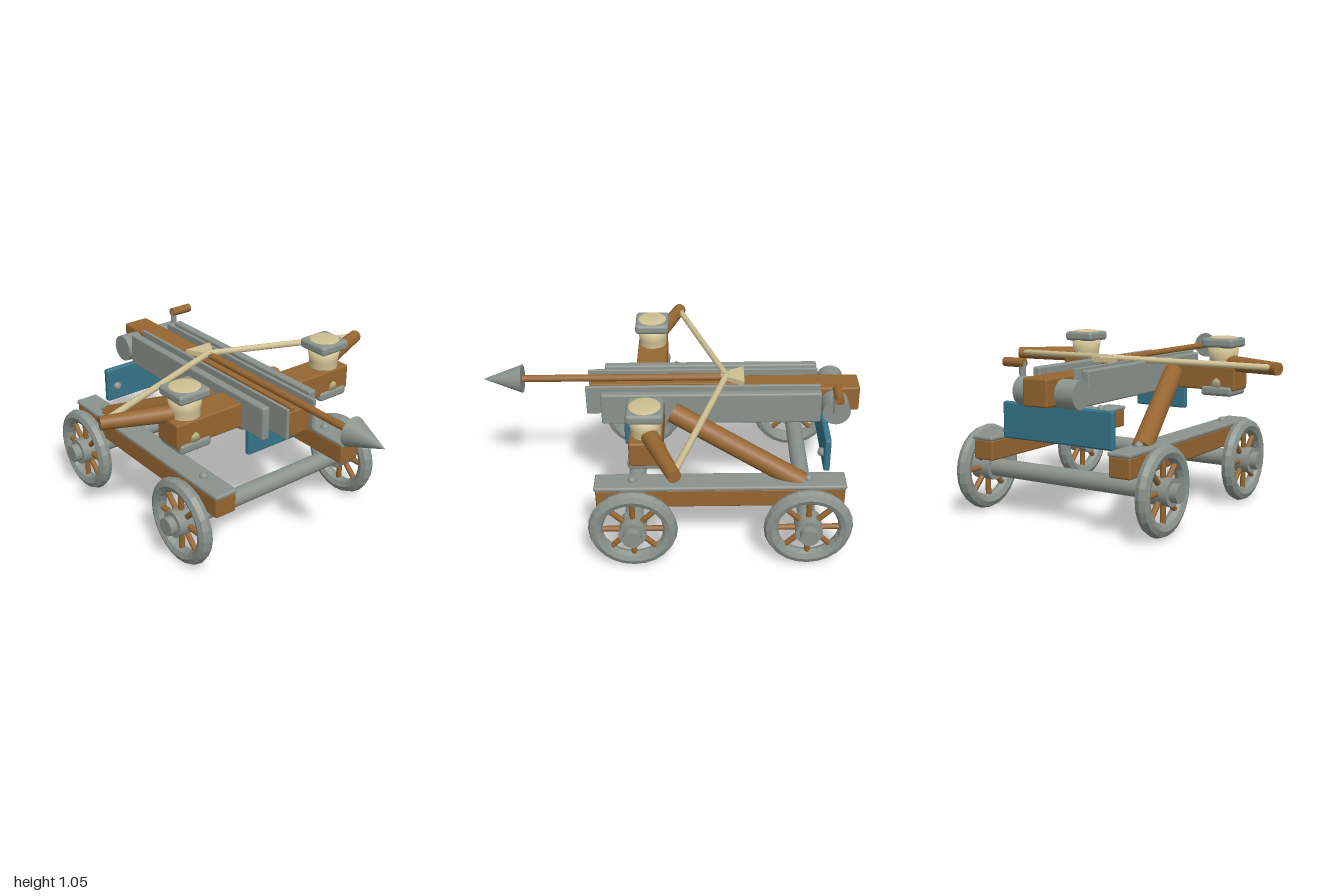
import * as THREE from 'three';
import { RoundedBoxGeometry } from 'three/addons/geometries/RoundedBoxGeometry.js';

const material = (name, color, extra = {}) => {
  const m = new THREE.MeshStandardMaterial({ color, ...extra });
  m.name = name;
  return m;
};

export function createModel() {
  const wood = material('wood', 0x966631);
  const iron = material('iron', 0x8b938d);
  const rope = material('rope', 0xcfc092);
  const teal = material('teal paint', 0x35758b);
  const rimIron = material('rim iron', 0x8b938d, { flatShading: true });

  const model = new THREE.Group();
  const engine = new THREE.Group();
  engine.name = 'siegeBow';
  engine.rotation.y = Math.PI / 4; // the machine points diagonally
  model.add(engine);

  const add = (name, geometry, mat, parent = engine) => {
    const mesh = new THREE.Mesh(geometry, mat);
    mesh.name = name;
    parent.add(mesh);
    return mesh;
  };
  // Box given by its ranges on each axis
  const box = (name, mat, [x0, x1], [y0, y1], [z0, z1], r = 0.012) => {
    const g = new RoundedBoxGeometry(x1 - x0, y1 - y0, z1 - z0, 2, r);
    g.translate((x0 + x1) / 2, (y0 + y1) / 2, (z0 + z1) / 2);
    return add(name, g, mat);
  };
  // Cylinder running from a to b
  const rod = (name, mat, a, b, ra, rb = ra, sides = 18, parent = engine) => {
    const p = new THREE.Vector3(...a), q = new THREE.Vector3(...b);
    const d = q.clone().sub(p);
    const mesh = add(name, new THREE.CylinderGeometry(rb, ra, d.length(), sides), mat, parent);
    mesh.position.copy(p).add(q).multiplyScalar(0.5);
    mesh.quaternion.setFromUnitVectors(new THREE.Vector3(0, 1, 0), d.normalize());
    return mesh;
  };
  const bolt = (x, y, z) => {
    add('bolt', new THREE.SphereGeometry(0.027, 12, 8), iron).position.set(x, y, z);
  };
  const span = (s, a, b) => (s > 0 ? [a, b] : [-b, -a]);

  // Wheels and axles
  const axleY = 0.266;
  for (const z of [-0.51, 0.51]) {
    rod('axle', iron, [-0.6, axleY, z], [0.6, axleY, z], 0.054);
    for (const s of [-1, 1]) {
      const wheel = new THREE.Group();
      wheel.name = 'wheel';
      wheel.position.set(s * 0.62, axleY, z);
      engine.add(wheel);
      add('rim', new THREE.TorusGeometry(0.218, 0.043, 8, 24), rimIron, wheel).rotation.y = Math.PI / 2;
      rod('hub', iron, [-0.065, 0, 0], [0.065, 0, 0], 0.08, 0.08, 18, wheel);
      rod('hubCap', iron, [0, 0, 0], [s * 0.11, 0, 0], 0.055, 0.055, 18, wheel);
      for (let i = 0; i < 8; i++) {
        const a = (i * Math.PI) / 4;
        const c = Math.cos(a), k = Math.sin(a);
        rod('spoke', wood, [0, c * 0.05, k * 0.05], [0, c * 0.2, k * 0.2], 0.017, 0.017, 8, wheel);
      }
    }
  }

  for (const s of [-1, 1]) {
    // Chassis rails with iron straps on top
    box('chassisRail', wood, span(s, 0.402, 0.54), [0.355, 0.477], [-0.725, 0.725]);
    box('railStrap', iron, span(s, 0.398, 0.546), [0.472, 0.5], [-0.733, 0.733]);
    bolt(s * 0.465, 0.5, -0.513);
    bolt(s * 0.465, 0.5, 0.513);

    // Diagonal braces
    rod('brace', wood, [s * 0.46, 0.47, -0.48], [s * 0.237, 0.82, 0.275], 0.06);

    // Side walls and guide strips of the stock
    box('sideWall', iron, span(s, 0.145, 0.195), [0.71, 0.91], [-0.6, 0.695]);
    box('guideStrip', iron, span(s, 0.086, 0.106), [0.73, 0.915], [-0.6, 0.79], 0.005);
    box('arrowGuide', wood, span(s, 0.028, 0.058), [0.87, 0.905], [-0.1, 0.765], 0.006);

    // Rope bundle held between two iron caps
    const bundle = [[0, 0.74], [0.1, 0.74], [0.096, 0.78], [0.086, 0.84], [0.086, 0.91], [0.098, 0.985], [0, 0.985]]
      .map(([x, y]) => new THREE.Vector2(x, y));
    add('ropeBundle', new THREE.LatheGeometry(bundle, 24), rope).position.set(s * 0.515, 0, 0.415);
    box('topCap', iron, span(s, 0.411, 0.619), [0.98, 1.04], [0.311, 0.519], 0.02);
    box('bottomCap', iron, span(s, 0.411, 0.619), [0.685, 0.745], [0.311, 0.519], 0.02);
    const dome = add('ropeDome', new THREE.SphereGeometry(0.09, 24, 8, 0, Math.PI * 2, 0, Math.PI / 2), rope);
    dome.scale.y = 0.13;
    dome.position.set(s * 0.515, 1.039, 0.415);

    // Throwing arm and its half of the string
    rod('bowArm', wood, [s * 0.49, 0.885, 0.425], [s * 0.955, 0.885, 0.247], 0.052, 0.038);
    rod('bowString', rope, [s * 0.93, 0.89, 0.252], [0, 0.925, -0.045], 0.019, 0.019, 10);
  }

  // Bow crossbeam and central stock
  box('crossbeam', wood, [-0.635, 0.635], [0.72, 0.87], [0.322, 0.508]);
  box('stock', wood, [-0.083, 0.083], [0.72, 0.88], [-0.84, 0.77]);

  // Teal panels
  box('rearPanel', teal, [-0.38, 0.38], [0.485, 0.703], [-0.648, -0.61]);
  for (const s of [-1, 1]) bolt(s * 0.312, 0.58, -0.604);
  box('frontPanel', teal, [-0.185, 0.185], [0.555, 0.74], [0.53, 0.566]);

  // Winch drum and crank
  rod('winchDrum', iron, [-0.205, 0.785, -0.69], [0.205, 0.785, -0.69], 0.083, 0.083, 24);
  rod('crankArm', iron, [0.2, 0.785, -0.685], [0.2, 0.95, -0.685], 0.02, 0.02, 10);
  rod('crankHandle', wood, [0.185, 0.94, -0.685], [0.325, 0.94, -0.685], 0.027, 0.027, 12);

  // Arrow and string pouch
  rod('arrowShaft', wood, [0, 0.915, -0.06], [0, 0.915, 1.2], 0.021, 0.021, 12);
  rod('arrowHead', iron, [0, 0.915, 1.17], [0, 0.915, 1.4], 0.085, 0.001, 20);
  const patch = new THREE.Shape([[-0.092, 0.15], [0.092, 0.15], [0.012, 0.01], [-0.012, 0.01]]
    .map(([x, y]) => new THREE.Vector2(x, y)));
  const pouch = new THREE.ExtrudeGeometry(patch, { depth: 0.03, bevelEnabled: false });
  pouch.rotateX(-Math.PI / 2);
  add('stringPouch', pouch, rope).position.set(0, 0.905, 0);

  return model;
}
